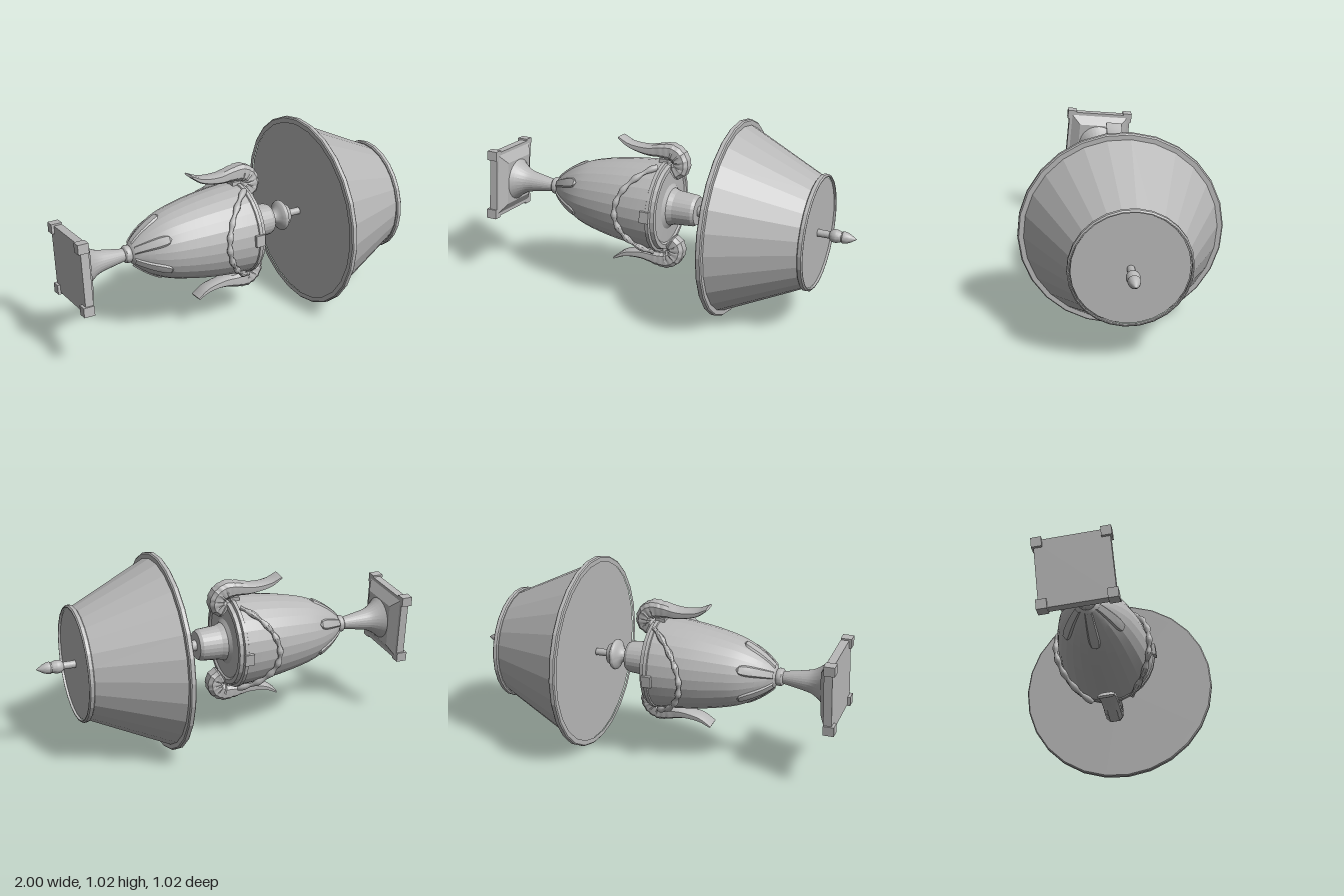
import * as THREE from 'three';
import { toCreasedNormals } from 'three/addons/utils/BufferGeometryUtils.js';

const SIDES = 26;
const grey = new THREE.MeshStandardMaterial({ color: 0xb8b8b8 });
grey.name = 'plain grey';

function part(name, geometry, parent, crease = 0.2) {
  const mesh = new THREE.Mesh(toCreasedNormals(geometry, crease), grey);
  mesh.name = name;
  parent.add(mesh);
  return mesh;
}

// Profiles are [radius, height along the lamp]
const toPoints = (list) => list.map(([r, y]) => new THREE.Vector2(r, y));
const smooth = (list, n) => new THREE.SplineCurve(toPoints(list)).getPoints(n);
const lathe = (points, sides = SIDES) => new THREE.LatheGeometry(points, sides, Math.PI / sides);

const bowl = smooth([[0.03, -0.66], [0.06, -0.645], [0.118, -0.575], [0.165, -0.49], [0.195, -0.39],
  [0.22, -0.26], [0.235, -0.125], [0.24, -0.035]], 24);

function bowlRadius(y) {
  for (let i = 1; i < bowl.length; i++) {
    const a = bowl[i - 1], b = bowl[i];
    if (y <= b.y) return THREE.MathUtils.mapLinear(Math.max(y, a.y), a.y, b.y, a.x, b.x);
  }
  return bowl[bowl.length - 1].x;
}

// Sweep a cylinder along a curve; place(t, cx, cz) gives the new vertex position
function sweep(sides, steps, place) {
  const g = new THREE.CylinderGeometry(1, 1, 1, sides, steps);
  const p = g.attributes.position;
  for (let i = 0; i < p.count; i++) {
    const v = place(p.getY(i) + 0.5, p.getX(i), p.getZ(i));
    p.setXYZ(i, v.x, v.y, v.z);
  }
  return g;
}

// Horn-shaped handle: flattened section, thick at the curl, thin at the tip
function hornGeometry() {
  const curve = new THREE.CatmullRomCurve3([
    [0.335, -0.3], [0.302, -0.24], [0.287, -0.14], [0.295, -0.055], [0.292, 0.005],
    [0.262, 0.042], [0.215, 0.046], [0.19, 0.01],
  ].map(([x, y]) => new THREE.Vector3(x, y, 0)));
  return sweep(12, 40, (t, cx, cz) => {
    const p = curve.getPoint(t), d = curve.getTangent(t);
    const square = 1 / Math.pow(cx ** 4 + cz ** 4 || 1, 0.25);
    const ridge = t > 0.35 ? 1 + 0.05 * Math.sin(t * 95) : 1;
    const thick = (0.006 + 0.038 * Math.min(1, t * 1.9)) * ridge;
    return new THREE.Vector3(p.x + d.y * cx * square * thick, p.y - d.x * cx * square * thick,
      cz * square * 0.042 * ridge);
  });
}

// Garland hanging over one side of the bowl, with knotted thickness
function garlandGeometry() {
  const span = 1.15;
  const at = (t) => {
    const a = (t * 2 - 1) * span;
    const y = -0.04 - 0.175 * Math.pow(Math.cos((a / span) * Math.PI / 2), 0.9);
    const r = bowlRadius(y) + 0.014;
    return new THREE.Vector3(r * Math.sin(a), y, r * Math.cos(a));
  };
  return sweep(8, 48, (t, cx, cz) => {
    const s = THREE.MathUtils.clamp(t, 0.001, 0.999);
    const p = at(s);
    const d = at(s + 0.001).sub(at(s - 0.001)).normalize();
    const out = new THREE.Vector3(p.x, 0, p.z).normalize();
    const side = new THREE.Vector3().crossVectors(d, out).normalize();
    out.crossVectors(side, d);
    const k = 0.014 + 0.004 * Math.sin(t * 50);
    return p.addScaledVector(side, cx * k).addScaledVector(out, cz * k);
  });
}

// Raised leaf hugging the lower bowl
function leafGeometry() {
  const g = new THREE.PlaneGeometry(2, 1, 6, 12);
  const p = g.attributes.position;
  for (let i = 0; i < p.count; i++) {
    const u = p.getX(i), t = p.getY(i) + 0.5;
    const y = -0.65 + 0.165 * t;
    const base = bowlRadius(y);
    const half = 0.036 * Math.sqrt(Math.max(0, 1 - t ** 6)) * (0.55 + 0.45 * t);
    const a = u * half / base;
    const r = base + (Math.abs(u) > 0.99 || t > 0.99 ? -0.002 : 0.009);
    p.setXYZ(i, r * Math.sin(a), y, r * Math.cos(a));
  }
  return g;
}

export function createModel() {
  const model = new THREE.Group();
  model.name = 'lampLyingDown';

  // The lamp lies along x, leaning very slightly
  const axis = new THREE.Vector3(1, -0.0125, 0.0187).normalize();
  const up = new THREE.Vector3(0, 1, 0).addScaledVector(axis, -axis.y).normalize();
  const tilt = new THREE.Group();
  tilt.name = 'lampAxis';
  tilt.quaternion.setFromRotationMatrix(
    new THREE.Matrix4().makeBasis(up, axis, new THREE.Vector3().crossVectors(up, axis)));
  tilt.position.set(0, 0.52, -0.007);
  model.add(tilt);
  const lamp = new THREE.Group();
  lamp.name = 'lamp';
  lamp.rotation.y = -0.1;
  tilt.add(lamp);

  // Square base with corner feet
  const plate = part('basePlate', new THREE.BoxGeometry(0.358, 0.042, 0.358), lamp);
  plate.position.y = -0.963;
  const slope = new THREE.CylinderGeometry(0.115 * Math.SQRT2, 0.165 * Math.SQRT2, 0.034, 4);
  part('baseSlope', slope.rotateY(Math.PI / 4), lamp).position.y = -0.927;
  for (const sx of [-1, 1]) for (const sz of [-1, 1]) {
    const foot = part('foot', new THREE.BoxGeometry(0.05, 0.056, 0.05), lamp);
    foot.position.set(sx * 0.163, -0.97, sz * 0.163);
  }

  // Flared stem and its ring
  part('stem', lathe(smooth([[0.112, -0.912], [0.085, -0.88], [0.062, -0.84], [0.05, -0.79],
    [0.041, -0.74], [0.032, -0.69]], 14)), lamp);
  part('stemRing', lathe(smooth([[0.026, -0.693], [0.042, -0.687], [0.046, -0.672], [0.042, -0.657],
    [0.026, -0.65]], 10)), lamp, 0.5);

  // Urn body, lip and neck
  part('urnBowl', lathe(bowl), lamp);
  part('urnLip', lathe(toPoints([[0.235, -0.045], [0.246, -0.04], [0.246, -0.022], [0.232, -0.018],
    [0.228, 0.002], [0.205, 0.004], [0.195, -0.005], [0.12, -0.002], [0.1, 0.012], [0.09, 0.04],
    [0.086, 0.1], [0.083, 0.14], [0.074, 0.157], [0, 0.16]])), lamp);

  // Leaves and lip blocks around the bowl
  for (let i = 0; i < 6; i++) {
    part('leaf', leafGeometry(), lamp, 0.5).rotation.y = Math.PI / 2 + i * Math.PI / 3;
  }
  for (let i = 0; i < 4; i++) {
    const block = new THREE.BoxGeometry(0.06, 0.05, 0.03).translate(0, -0.042, 0.24);
    part('lipBlock', block, lamp).rotation.y = i * Math.PI / 2;
  }

  // Mirrored handles and garlands
  for (const turn of [0, Math.PI]) {
    part('hornHandle', hornGeometry(), lamp, 0.6).rotation.y = turn;
    part('garland', garlandGeometry(), lamp, 0.8).rotation.y = turn;
  }

  // Knob and rod under the shade
  part('knob', lathe(smooth([[0.028, 0.15], [0.03, 0.18], [0.045, 0.2], [0.076, 0.218], [0.08, 0.236],
    [0.06, 0.25], [0.05, 0.27], [0.018, 0.279]], 20)), lamp, 0.3);
  part('rod', lathe(toPoints([[0.019, 0.26], [0.019, 0.345]])), lamp);

  // Closed conical shade with a band at each end
  part('shade', lathe(toPoints([[0, 0.35], [0.485, 0.35], [0.485, 0.365], [0.282, 0.79], [0.282, 0.8],
    [0, 0.8]])), lamp);
  part('wideBand', lathe(toPoints([[0.48, 0.343], [0.505, 0.343], [0.511, 0.348], [0.511, 0.367],
    [0.505, 0.373], [0.478, 0.373]])), lamp);
  part('narrowBand', lathe(toPoints([[0.275, 0.782], [0.291, 0.782], [0.298, 0.787], [0.298, 0.805],
    [0.291, 0.811], [0.286, 0.811], [0.286, 0.798]])), lamp);

  // Finial
  part('finialRod', lathe(toPoints([[0.019, 0.795], [0.019, 0.87]])), lamp);
  part('finial', lathe(smooth([[0.015, 0.86], [0.029, 0.872], [0.034, 0.895], [0.028, 0.917], [0.026, 0.924],
    [0.031, 0.934], [0.022, 0.965], [0, 1]], 22)), lamp, 0.4);

  return model;
}
